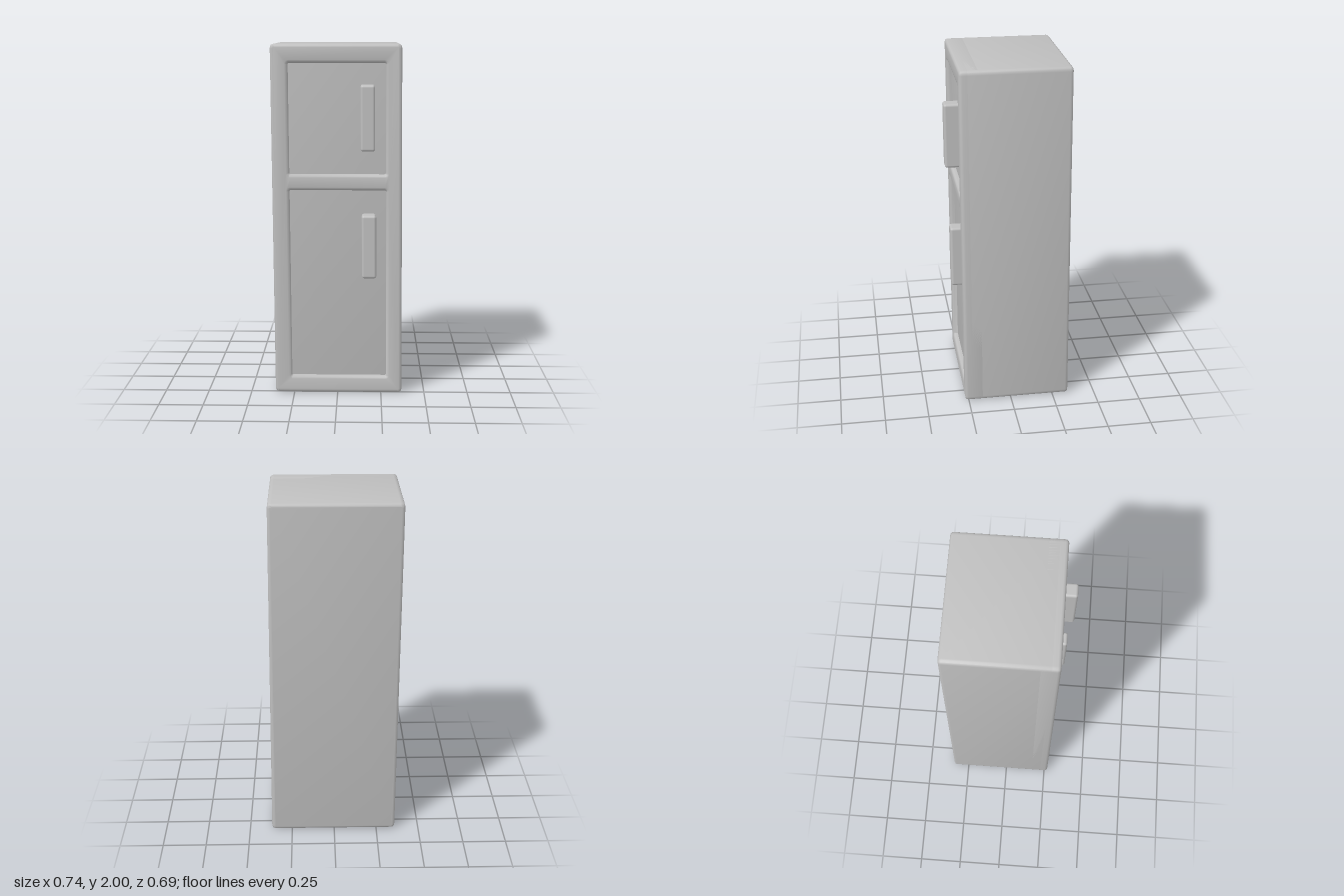
import * as THREE from 'three';
import { toCreasedNormals } from 'three/addons/utils/BufferGeometryUtils.js';
import { RoundedBoxGeometry } from 'three/addons/geometries/RoundedBoxGeometry.js';

const W = 0.73, H = 2, D = 0.615, BEVEL = 0.018;

// Rectangle outline with softly rounded corners
function roundedRect(Type, x0, x1, y0, y1, r) {
  const p = new Type();
  p.moveTo(x0 + r, y0);
  p.lineTo(x1 - r, y0);
  p.quadraticCurveTo(x1, y0, x1, y0 + r);
  p.lineTo(x1, y1 - r);
  p.quadraticCurveTo(x1, y1, x1 - r, y1);
  p.lineTo(x0 + r, y1);
  p.quadraticCurveTo(x0, y1, x0, y1 - r);
  p.lineTo(x0, y0 + r);
  p.quadraticCurveTo(x0, y0, x0 + r, y0);
  return p;
}

// Bevelled slab spanning z0..z1
function slab(shape, z0, z1) {
  const g = new THREE.ExtrudeGeometry(shape, {
    depth: z1 - z0 - 2 * BEVEL, bevelEnabled: true, bevelThickness: BEVEL,
    bevelSize: BEVEL, bevelOffset: -BEVEL, bevelSegments: 3, curveSegments: 4,
  });
  g.translate(0, 0, z0 + BEVEL);
  return toCreasedNormals(g, 0.7);
}

export function createModel() {
  const group = new THREE.Group();
  const grey = new THREE.MeshStandardMaterial({ color: 0xbfbfbf });
  grey.name = 'grey enamel';

  // The whole cabinet leans slightly to its right and forward
  const lean = new THREE.Matrix4().set(
    1, -0.0075, 0, 0.005,
    0, 1, 0, 0,
    0, 0.005, 1, -0.0375,
    0, 0, 0, 1);
  const add = (name, geometry) => {
    const mesh = new THREE.Mesh(geometry.applyMatrix4(lean), grey);
    mesh.name = name;
    group.add(mesh);
  };
  const outline = () => roundedRect(THREE.Shape, -W / 2, W / 2, 0, H, 0.025);

  // Cabinet, whose front face forms the sunken doors
  add('cabinet', slab(outline(), -D / 2, D / 2 - 0.028));

  // Front frame with the upper and lower door openings
  const frame = outline();
  frame.holes.push(
    roundedRect(THREE.Path, -0.268, 0.275, 1.275, 1.895, 0.008),
    roundedRect(THREE.Path, -0.268, 0.275, 0.1, 1.185, 0.008));
  add('doorFrame', slab(frame, D / 2 - 0.12, D / 2));

  // Door handles: x, y, width, height, front z
  const handles = [
    ['upperHandle', 0.1745, 1.595, 0.08, 0.365, 0.377],
    ['lowerHandle', 0.179, 0.87, 0.082, 0.36, 0.358],
  ];
  for (const [name, x, y, w, h, front] of handles) {
    const depth = front - 0.25;
    const g = new RoundedBoxGeometry(w, h, depth, 3, 0.014);
    g.translate(x, y, front - depth / 2);
    add(name, g);
  }
  return group;
}
